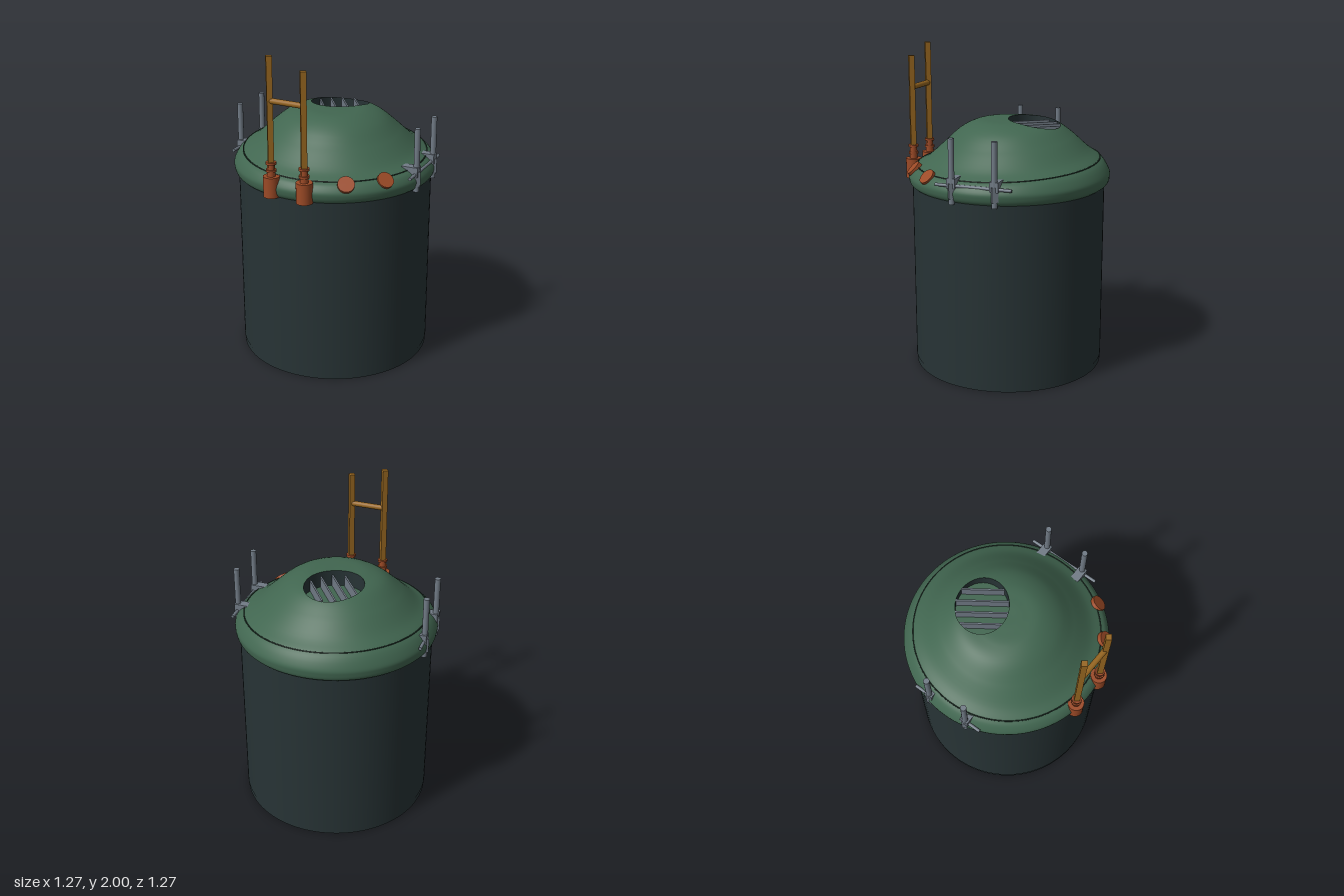
import * as THREE from 'three';
import { ParametricGeometry } from 'three/addons/geometries/ParametricGeometry.js';

const mat = (name, color, side = THREE.FrontSide) => {
  const m = new THREE.MeshStandardMaterial({ color, side });
  m.name = name;
  return m;
};

export function createModel() {
  const root = new THREE.Group();
  const green = mat('dome green', 0x416650);
  const dark = mat('body charcoal', 0x273335, THREE.DoubleSide);
  const seamDark = mat('seam dark green', 0x1f3128);
  const grey = mat('steel grey', 0x717b86);
  const ochre = mat('rod ochre', 0x986720);
  const copper = mat('copper', 0x9c4a26);

  const add = (name, geo, material, x = 0, y = 0, z = 0, parent = root) => {
    const m = new THREE.Mesh(geo, material);
    m.name = name;
    m.position.set(x, y, z);
    parent.add(m);
    return m;
  };
  const V = (x, y, z) => new THREE.Vector3(x, y, z);
  // Round bar between two points
  const bar = (name, a, b, r, material, parent = root) => {
    const d = b.clone().sub(a);
    const mid = a.clone().add(b).multiplyScalar(0.5);
    const m = add(name, new THREE.CylinderGeometry(r, r, d.length(), 16), material, mid.x, mid.y, mid.z, parent);
    m.quaternion.setFromUnitVectors(V(0, 1, 0), d.normalize());
    return m;
  };

  // Body
  add('body', new THREE.CylinderGeometry(0.6, 0.6, 1.16, 96), dark, 0, 0.62, 0);
  add('baseRing', new THREE.CylinderGeometry(0.597, 0.597, 0.04, 96), dark, 0, 0.02, 0);

  // Dome: front and back profiles (radius, height), blended around the axis
  const curve = pts => new THREE.CatmullRomCurve3(pts.map(([r, y]) => V(r, y, 0)), false, 'catmullrom', 0.5);
  const front = curve([[0, 1.565], [0.1, 1.565], [0.2, 1.555], [0.3, 1.505], [0.4, 1.415], [0.5, 1.325],
    [0.57, 1.285], [0.6, 1.265], [0.622, 1.23], [0.622, 1.2], [0.612, 1.175], [0.593, 1.16]]);
  const back = curve([[0, 1.565], [0.1, 1.565], [0.2, 1.56], [0.3, 1.542], [0.4, 1.475], [0.5, 1.385],
    [0.57, 1.335], [0.603, 1.3], [0.63, 1.25], [0.633, 1.22], [0.625, 1.185], [0.593, 1.16]]);
  const T_SEAM = 6 / 11, T_SHOULDER = 4 / 11;
  const domePoint = (t, x, z) => {
    const b = Math.pow((1 - z / (Math.hypot(x, z) || 1)) / 2, 1.3);
    return front.getPoint(t).lerp(back.getPoint(t), b);
  };
  const heightAt = (x, z) => {
    const r = Math.hypot(x, z);
    let lo = 0, hi = T_SEAM;
    for (let i = 0; i < 32; i++) {
      const t = (lo + hi) / 2;
      if (front.getPoint(t).x < r) lo = t; else hi = t;
    }
    return domePoint(lo, x, z).y;
  };

  // Vent opening in the crown
  const vent = { x: 0.057, z: -0.15, rx: 0.183, rz: 0.16, floor: 1.465 };
  const ventEdge = a => [vent.x + vent.rx * Math.sin(a), vent.z + vent.rz * Math.cos(a)];
  const domeSurface = (u, v, target) => {
    const a = u * Math.PI * 2, s = Math.sin(a), c = Math.cos(a);
    if (v < 0.7) {
      const t = THREE.MathUtils.lerp(1, T_SHOULDER, v / 0.7);
      const p = domePoint(t, s, c);
      target.set(p.x * s, p.y, p.x * c);
    } else {
      const k = (v - 0.7) / 0.3, [ex, ez] = ventEdge(a);
      const x = THREE.MathUtils.lerp(0.4 * s, ex, k), z = THREE.MathUtils.lerp(0.4 * c, ez, k);
      target.set(x, heightAt(x, z), z);
    }
  };
  add('dome', new ParametricGeometry(domeSurface, 96, 40), green);
  add('ventWall', new ParametricGeometry((u, v, target) => {
    const [x, z] = ventEdge(u * Math.PI * 2);
    target.set(x, THREE.MathUtils.lerp(heightAt(x, z), vent.floor, v), z);
  }, 64, 1), dark);
  const floor = add('ventFloor', new THREE.CircleGeometry(1, 64), green, vent.x, vent.floor, vent.z);
  floor.rotation.x = -Math.PI / 2;
  floor.scale.set(vent.rx, vent.rz, 1);
  for (const x of [-0.05, 0.021, 0.094, 0.167]) {
    const half = vent.rz * Math.sqrt(1 - ((x - vent.x) / vent.rx) ** 2);
    add('ventSlat', new THREE.BoxGeometry(0.01, 0.07, half * 2), grey, x, vent.floor + 0.035, vent.z);
  }

  // Seam line around the dome
  const seam = [];
  for (let i = 0; i < 48; i++) {
    const a = i / 48 * Math.PI * 2, s = Math.sin(a), c = Math.cos(a);
    const p = domePoint(T_SEAM, s, c);
    seam.push(V(p.x * s, p.y, p.x * c));
  }
  add('domeSeam', new THREE.TubeGeometry(new THREE.CatmullRomCurve3(seam, true), 144, 0.004, 6, true), seamDark);

  // Tall rods in copper sockets
  for (const [x, z, top] of [[-0.44, 0.42, 2], [-0.265, 0.555, 1.94]]) {
    const rod = new THREE.Group();
    rod.name = 'rodAssembly';
    rod.position.set(x, 0, z);
    root.add(rod);
    add('socket', new THREE.CylinderGeometry(0.049, 0.049, 0.125, 32), copper, 0, 1.2275, 0, rod);
    add('neck', new THREE.CylinderGeometry(0.022, 0.025, 0.09, 24), copper, 0, 1.33, 0, rod);
    for (const y of [1.325, 1.37])
      add('collar', new THREE.CylinderGeometry(0.031, 0.031, 0.014, 24), copper, 0, y, 0, rod);
    add('rod', new THREE.BoxGeometry(0.034, top - 1.3, 0.034), ochre, 0, (top + 1.3) / 2, 0, rod);
  }
  bar('rodCrossbar', V(-0.44, 1.742, 0.42), V(-0.265, 1.742, 0.555), 0.017, ochre);

  // Round studs on the front rim
  for (const [x, y, z] of [[-0.03, 1.272, 0.59], [0.205, 1.27, 0.55]]) {
    const stud = add('stud', new THREE.CylinderGeometry(0.05, 0.05, 0.03, 32), copper, x, y, z);
    stud.quaternion.setFromUnitVectors(V(0, 1, 0), V(x, 0.6, z).normalize());
  }

  // Paired posts with clamps and a rail, on two opposite sides
  for (const s of [1, -1]) {
    const rack = new THREE.Group();
    rack.name = s > 0 ? 'frontLeftPosts' : 'backRightPosts';
    root.add(rack);
    for (const [x, z] of [[0.415, 0.45], [0.568, 0.232]]) {
      bar('post', V(s * x, 1.155, s * z), V(s * x, 1.545, s * z), 0.018, grey, rack);
      add('postFoot', new THREE.BoxGeometry(0.04, 0.09, 0.04), grey, s * x, 1.235, s * z, rack);
      const clamp = add('clamp', new THREE.BoxGeometry(0.1, 0.06, 0.055), grey,
        s * (x - 0.028), 1.28, s * (z - 0.02), rack);
      clamp.rotation.y = -0.62;
    }
    bar('rail', V(s * 0.355, 1.265, s * 0.535), V(s * 0.625, 1.265, s * 0.145), 0.01, grey, rack);
  }
  return root;
}
